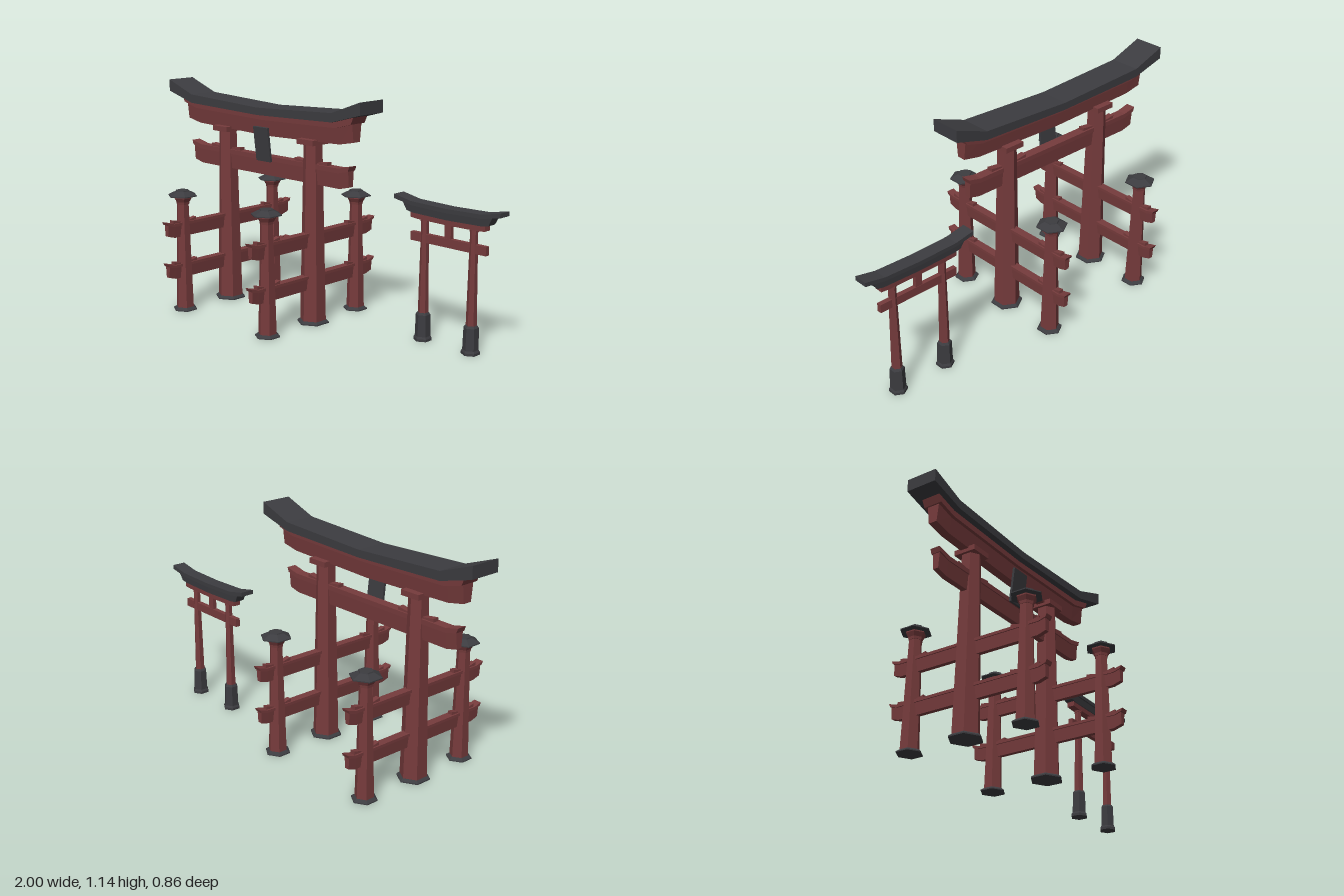
import * as THREE from 'three';

const red = new THREE.MeshStandardMaterial({ color: 0x763b3c, flatShading: true });
red.name = 'weathered red';
const gray = new THREE.MeshStandardMaterial({ color: 0x3c3c40, flatShading: true });
gray.name = 'dark gray';

function add(parent, name, geometry, material, x = 0, y = 0, z = 0) {
  const mesh = new THREE.Mesh(geometry, material);
  mesh.name = name;
  mesh.position.set(x, y, z);
  parent.add(mesh);
  return mesh;
}

// Beam along x through sections [x, bottom, top, lean of the top edge]
function loft(sections, halfBottom, halfTop) {
  const pos = [], idx = [];
  for (const [x, yb, yt, lean = 0] of sections) {
    pos.push(x, yb, halfBottom, x + lean, yt, halfTop, x + lean, yt, -halfTop, x, yb, -halfBottom);
  }
  for (let i = 0; i < sections.length - 1; i++) {
    for (let j = 0; j < 4; j++) {
      const k = (j + 1) % 4, a = i * 4, b = a + 4;
      idx.push(a + j, b + j, b + k, a + j, b + k, a + k);
    }
  }
  const e = (sections.length - 1) * 4;
  idx.push(0, 1, 2, 0, 2, 3, e, e + 3, e + 2, e, e + 2, e + 1);
  const g = new THREE.BufferGeometry();
  g.setAttribute('position', new THREE.Float32BufferAttribute(pos, 3));
  g.setIndex(idx);
  g.computeVertexNormals();
  return g;
}

// Symmetric beam from the sections of its +x half
function beam(half, halfBottom, halfTop) {
  const left = half.filter(s => s[0] > 0).reverse().map(([x, b, t, l = 0]) => [-x, b, t, -l]);
  return loft([...left, ...half], halfBottom, halfTop);
}

// Six-sided turned part from [radius, y] points, closed at both ends
function hex(profile) {
  const pts = [[0, profile[0][1]], ...profile, [0, profile[profile.length - 1][1]]];
  return new THREE.LatheGeometry(pts.map(p => new THREE.Vector2(...p)), 6);
}

// Pair of wedges driven in on both sides of a post
function wedges(parent, x, y, inner, outer, half) {
  for (const s of [-1, 1]) {
    const ends = [[x + s * inner, y, y + 0.006], [x + s * outer, y, y + 0.017]];
    if (s < 0) ends.reverse();
    add(parent, 'wedge', loft(ends, half, half), red);
  }
}

function largeGate() {
  const gate = new THREE.Group();
  gate.name = 'largeGate';

  // Curved top: roof, plank and lintel
  add(gate, 'roof', beam([[0, 1.015, 1.052], [0.505, 1.03, 1.074], [0.685, 1.079, 1.139]], 0.079, 0.079), gray);
  add(gate, 'roofPlank', beam([[0, 0.988, 1.018], [0.505, 1.0, 1.035], [0.6, 1.026, 1.06, 0.016]], 0.048, 0.048), red);
  add(gate, 'lintel', beam([[0, 0.906, 0.992], [0.505, 0.92, 1.005], [0.595, 0.938, 1.03]], 0.022, 0.032), red);

  // Tie beam with its cover plank
  add(gate, 'tieBeam', beam([[0, 0.705, 0.785], [0.5, 0.705, 0.785], [0.56, 0.72, 0.8]], 0.014, 0.02), red);
  add(gate, 'tieBeamPlank', beam([[0, 0.782, 0.805], [0.5, 0.782, 0.805], [0.563, 0.798, 0.821, 0.008]], 0.025, 0.025), red);

  // Tilted plaque
  add(gate, 'plaque', new THREE.BoxGeometry(0.102, 0.175, 0.012), gray, 0, 0.866, 0.044).rotation.x = 0.12;

  for (const x of [-0.31, 0.31]) {
    // Main posts
    add(gate, 'mainPost', hex([[0.066, 0.012], [0.047, 0.905]]), red, x);
    add(gate, 'mainPostFoot', hex([[0.081, 0], [0.081, 0.006], [0.067, 0.016]]), gray, x);
    add(gate, 'mainPostCap', new THREE.BoxGeometry(0.108, 0.026, 0.114), red, x, 0.912);
    wedges(gate, x, 0.804, 0.03, 0.11, 0.016);

    // Support posts in front and behind
    for (const z of [-0.311, 0.311]) {
      add(gate, 'supportPost', hex([[0.046, 0.012], [0.031, 0.56]]), red, x, 0, z);
      add(gate, 'supportPostFoot', hex([[0.063, 0], [0.063, 0.005], [0.047, 0.016]]), gray, x, 0, z);
      add(gate, 'supportPostCollar', hex([[0.034, 0.555], [0.036, 0.568], [0.048, 0.588], [0.048, 0.598]]), red, x, 0, z);
      add(gate, 'supportPostRoof', hex([[0.05, 0.594], [0.076, 0.597], [0.076, 0.602], [0.036, 0.622], [0.034, 0.627]]), gray, x, 0, z);
    }

    // Rails running front to back
    for (const y of [0.175, 0.39]) {
      const rail = new THREE.Group();
      rail.name = 'sideRail';
      rail.position.set(x, y, 0);
      rail.rotation.y = Math.PI / 2;
      gate.add(rail);
      add(rail, 'railBeam', beam([[0, 0, 0.062], [0.376, 0, 0.062], [0.418, 0.013, 0.074]], 0.011, 0.016), red);
      add(rail, 'railPlank', beam([[0, 0.06, 0.074], [0.385, 0.06, 0.074], [0.423, 0.071, 0.086, 0.006]], 0.021, 0.021), red);
      for (const p of [-0.311, 0.311]) wedges(rail, p, 0.073, 0.025, 0.074, 0.013);
    }
  }
  return gate;
}

function smallGate() {
  const gate = new THREE.Group();
  gate.name = 'smallGate';

  // Curved top in three layers
  add(gate, 'roof', beam([[0, 0.646, 0.666], [0.2, 0.652, 0.671], [0.303, 0.67, 0.691]], 0.035, 0.035), gray);
  add(gate, 'lowerRoof', beam([[0, 0.61, 0.65], [0.2, 0.615, 0.655], [0.235, 0.622, 0.66, 0.02]], 0.024, 0.028), gray);
  add(gate, 'lintel', beam([[0, 0.586, 0.613], [0.17, 0.588, 0.616], [0.213, 0.592, 0.62]], 0.02, 0.02), red);

  // Tie beam and centre strut
  add(gate, 'tieBeam', new THREE.BoxGeometry(0.434, 0.042, 0.024), red, 0, 0.5);
  add(gate, 'strut', new THREE.BoxGeometry(0.036, 0.075, 0.02), red, 0, 0.552);

  for (const x of [-0.141, 0.141]) {
    add(gate, 'post', hex([[0.026, 0.1], [0.018, 0.59]]), red, x);
    add(gate, 'postCap', hex([[0.021, 0.578], [0.021, 0.59]]), red, x);
    add(gate, 'postSleeve', hex([[0.044, 0], [0.044, 0.012], [0.038, 0.022], [0.035, 0.128], [0.028, 0.138]]), gray, x);
  }
  return gate;
}

export function createModel() {
  const model = new THREE.Group();
  model.name = 'gates';
  const large = largeGate();
  large.position.x = -0.315;
  const small = smallGate();
  small.position.set(0.697, 0, -0.174);
  model.add(large, small);
  return model;
}
